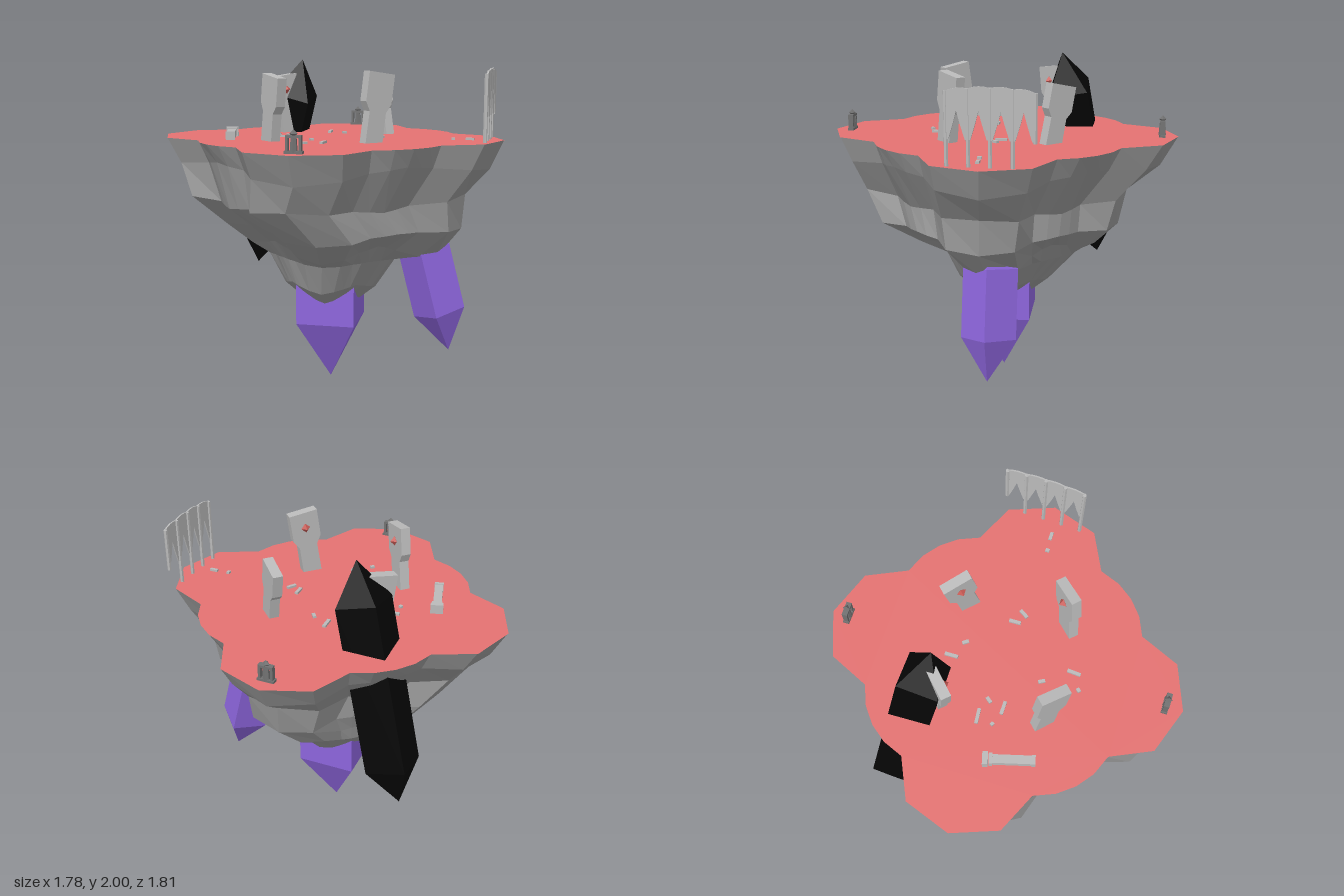
import * as THREE from 'three';

const mat = (name, color) => new THREE.MeshStandardMaterial({ name, color });
const TOP = 1.535;

// Faceted normals on any geometry
function flat(geo) {
  const g = geo.index ? geo.toNonIndexed() : geo;
  g.computeVertexNormals();
  return g;
}

function add(parent, name, geo, material, x = 0, y = 0, z = 0) {
  const m = new THREE.Mesh(geo, material);
  m.name = name;
  m.position.set(x, y, z);
  parent.add(m);
  return m;
}

// One quarter of the lobed island outline, turned four times
function islandOutline() {
  const quarter = [[0.845, 0], [0.83, 0.12], [0.78, 0.24], [0.87, 0.485],
    [0.75, 0.745], [0.485, 0.87], [0.24, 0.78], [0.12, 0.83]];
  const pts = [];
  for (let q = 0; q < 4; q++) {
    for (const [x, z] of quarter) {
      pts.push([[x, z], [-z, x], [-x, -z], [z, -x]][q]);
    }
  }
  return pts;
}

// Rock underside: stepped rings that shrink and round off downward
function rockGeometry(outline) {
  // y, half width x, half depth z, centre x, centre z, roundness, wave height, pinch between lobes
  const rings = [
    [TOP, 0.87, 0.865, -0.02, 0.035, 0, 0, 0],
    [1.395, 0.81, 0.805, -0.025, 0.05, 0.08, 0.035, 0.01],
    [1.185, 0.755, 0.67, -0.08, 0.09, 0.18, -0.025, 0.09],
    [1.015, 0.64, 0.65, 0.01, 0.11, 0.3, 0.015, 0.07],
    [0.885, 0.47, 0.515, 0.01, 0.035, 0.5, 0.04, 0.07],
    [0.8, 0.365, 0.41, 0.015, 0, 0.7, 0.01, 0],
    [0.63, 0.28, 0.28, -0.02, 0.04, 0.9, 0.025, 0],
    [0.38, 0, 0, -0.02, 0.04, 1, 0, 0],
  ];
  const n = outline.length, pos = [], idx = [];
  rings.forEach(([y, hx, hz, cx, cz, round, wave, pinch], j) => {
    for (const [ox, oz] of outline) {
      const a = Math.atan2(oz, ox);
      // Zigzag: 1 along the axes, -1 on the diagonals
      const turns = a / (Math.PI / 2);
      const zigzag = 1 - 4 * Math.abs(turns - Math.round(turns));
      // Overhanging lump that holds the small hanging crystal
      const lump = j === 4 ? Math.max(0, 1 - Math.abs(a - Math.PI / 4) / 0.6) : 0;
      const r = THREE.MathUtils.lerp(Math.hypot(ox, oz), 0.87, round) / 0.87
        * (1 - pinch * THREE.MathUtils.smoothstep(zigzag, -0.4, 0.5)) * (1 + 0.15 * lump);
      pos.push(cx + Math.cos(a) * r * hx,
        y + wave * zigzag - 0.06 * lump,
        cz + Math.sin(a) * r * hz);
    }
    if (j === 0) return;
    for (let i = 0; i < n; i++) {
      const u = (j - 1) * n + i, u1 = (j - 1) * n + (i + 1) % n;
      idx.push(u, u1, u + n, u1, u1 + n, u + n);
    }
  });
  const g = new THREE.BufferGeometry();
  g.setAttribute('position', new THREE.Float32BufferAttribute(pos, 3));
  g.setIndex(idx);
  return flat(g);
}

// Four-sided crystal with a point at both ends, between two tips
function crystal(parent, name, material, low, high, radius, tip, turn) {
  const a = new THREE.Vector3(...low), b = new THREE.Vector3(...high);
  const h = a.distanceTo(b) / 2;
  const profile = [[0, -h], [radius, tip - h], [radius, h - tip], [0, h]]
    .map(([r, y]) => new THREE.Vector2(r, y));
  const geo = new THREE.LatheGeometry(profile, 4);
  geo.rotateY(turn);
  const m = add(parent, name, flat(geo), material);
  m.position.copy(a).lerp(b, 0.5);
  m.quaternion.setFromUnitVectors(new THREE.Vector3(0, 1, 0), b.sub(a).normalize());
}

export function createModel() {
  const model = new THREE.Group();
  const rock = mat('rock', 0x989898);
  const grass = mat('red ground', 0xe47271);
  const purple = mat('purple crystal', 0x8d65dc);
  const black = mat('black crystal', 0x050505);
  const stone = mat('pale stone', 0xbababa);
  const dark = mat('dark stone', 0x727272);
  const gemRed = mat('red gem', 0xc85a54);

  // Island
  const outline = islandOutline();
  add(model, 'islandRock', rockGeometry(outline), rock);
  const ground = new THREE.ShapeGeometry(new THREE.Shape(
    outline.map(([x, z]) => new THREE.Vector2(x - 0.02, -(z + 0.035)))));
  ground.rotateX(-Math.PI / 2);
  add(model, 'ground', ground, grass, 0, TOP, 0);

  // Crystals
  crystal(model, 'bottomCrystal', purple, [-0.02, 0, 0.04], [-0.02, 1.2, 0.04], 0.257, 0.38, 0);
  crystal(model, 'sideCrystal', purple, [0.51, 0.22, 0.57], [0.35, 1.1, 0.41], 0.16, 0.25, Math.PI / 4);
  crystal(model, 'blackCrystal', black, [-0.07, 0.595, -0.815], [0.035, 2.0, -0.38], 0.172, 0.24, 0);

  // Standing stones: stalk, flared head and a gem facing the middle
  const half = [[0.06, -0.02], [0.058, 0.17], [0.09, 0.22], [0.09, 0.385]];
  const side = half.map(([x, y]) => new THREE.Vector2(x, y));
  const mirror = half.map(([x, y]) => new THREE.Vector2(-x, y)).reverse();
  const slab = new THREE.ExtrudeGeometry(new THREE.Shape([...side, ...mirror]),
    { depth: 0.06, bevelEnabled: false });
  slab.translate(0, 0, -0.03);
  const gemGeo = flat(new THREE.OctahedronGeometry(0.029));
  const stones = [ // x, z, facing, lean, height scale
    [-0.015, 0.46, Math.PI, 0.14, 1.05],
    [-0.05, -0.41, 0, 0.14, 0.96],
    [-0.45, 0.045, Math.PI / 2, 0.15, 1],
    [0.405, 0.02, -Math.PI / 2, 0.22, 0.89],
  ];
  for (const [x, z, facing, lean, tall] of stones) {
    const g = new THREE.Group();
    g.name = 'standingStone';
    g.position.set(x, TOP, z);
    g.rotation.set(0, facing, lean, 'YXZ');
    g.scale.y = tall;
    add(g, 'stoneSlab', slab, stone);
    add(g, 'gem', gemGeo, gemRed, 0, 0.29, 0.032);
    model.add(g);
  }

  // Fallen column
  const fallen = new THREE.Group();
  fallen.name = 'fallenColumn';
  fallen.position.set(-0.565, TOP + 0.027, -0.23);
  fallen.rotation.y = Math.atan2(0.26, 0.15);
  add(fallen, 'columnShaft', new THREE.BoxGeometry(0.24, 0.04, 0.05), stone, -0.02, 0, 0);
  add(fallen, 'columnFoot', new THREE.BoxGeometry(0.02, 0.05, 0.055), stone, -0.14, 0, 0);
  add(fallen, 'columnNeck', new THREE.BoxGeometry(0.02, 0.054, 0.062), stone, 0.1, 0, 0);
  add(fallen, 'columnCap', new THREE.BoxGeometry(0.032, 0.06, 0.075), stone, 0.13, 0, 0);
  model.add(fallen);

  // Small shrine figures at opposite corners
  for (const [x, z] of [[0.655, -0.645], [-0.69, 0.715]]) {
    const s = new THREE.Group();
    s.name = 'shrine';
    s.position.set(x, TOP, z);
    s.rotation.y = -Math.PI / 4;
    add(s, 'shrineBase', new THREE.BoxGeometry(0.1, 0.015, 0.036), dark, 0, 0.0075, 0);
    add(s, 'shrineBody', flat(new THREE.CylinderGeometry(0.016, 0.022, 0.085, 6)), dark, 0, 0.05, 0);
    add(s, 'shrineHead', flat(new THREE.OctahedronGeometry(0.022)), dark, 0, 0.105, 0);
    add(s, 'shrineLintel', new THREE.BoxGeometry(0.085, 0.014, 0.032), dark, 0, 0.09, 0);
    for (const d of [-1, 1]) {
      add(s, 'shrinePost', new THREE.BoxGeometry(0.014, 0.085, 0.03), dark, d * 0.036, 0.045, 0);
    }
    model.add(s);
  }

  // Banner fence: posts with cloth cut into pointed arches between them
  const posts = [[0.525, 0.835], [0.613, 0.757], [0.70, 0.68], [0.788, 0.60], [0.875, 0.522]];
  const tops = [1.93, 1.945, 1.95, 1.945, 1.93];
  posts.forEach(([x, z], i) => {
    const low = i === 4 ? 1.67 : TOP;
    add(model, 'fencePost', flat(new THREE.CylinderGeometry(0.012, 0.012, tops[i] - low, 6)),
      stone, x, (tops[i] + low) / 2, z);
    if (i === 4) return;
    const [x2, z2] = posts[i + 1];
    const w = Math.hypot(x2 - x, z2 - z), y0 = tops[i], y1 = tops[i + 1];
    const arch = new THREE.Shape();
    arch.moveTo(0, 1.68);
    arch.lineTo(0.015, 1.68);
    arch.lineTo(w * 0.36, 1.77);
    arch.lineTo(w / 2, 1.83);
    arch.lineTo(w * 0.64, 1.77);
    arch.lineTo(w - 0.015, 1.68);
    arch.lineTo(w, 1.68);
    arch.lineTo(w, y1);
    arch.quadraticCurveTo(w / 2, (y0 + y1) / 2 + 0.02, 0, y0);
    const cloth = new THREE.ExtrudeGeometry(arch, { depth: 0.009, bevelEnabled: false, curveSegments: 4 });
    const banner = add(model, 'banner', cloth, stone, x, 0, z);
    banner.rotation.y = -Math.atan2(z2 - z, x2 - x);
  });

  // Loose rubble: x, z, length, turn
  const rubble = [[-0.33, -0.21, 0.02, 0.3], [-0.25, -0.26, 0.09, -0.7], [-0.195, -0.16, 0.04, 0.1],
    [-0.275, -0.11, 0.08, -0.8], [0.15, -0.225, 0.08, 0.8], [0.185, -0.115, 0.04, 1.4],
    [-0.235, 0.16, 0.04, 1.3], [-0.38, 0.32, 0.025, 0], [-0.275, 0.35, 0.08, 0.7],
    [0.165, 0.2, 0.07, 0.8], [0.185, 0.27, 0.06, 0.2], [0.49, 0.595, 0.025, 0.8], [0.565, 0.66, 0.05, -0.8]];
  for (const [x, z, len, turn] of rubble) {
    add(model, 'rubble', new THREE.BoxGeometry(len, 0.014, 0.02), stone, x, TOP + 0.006, z).rotation.y = turn;
  }
  return model;
}
